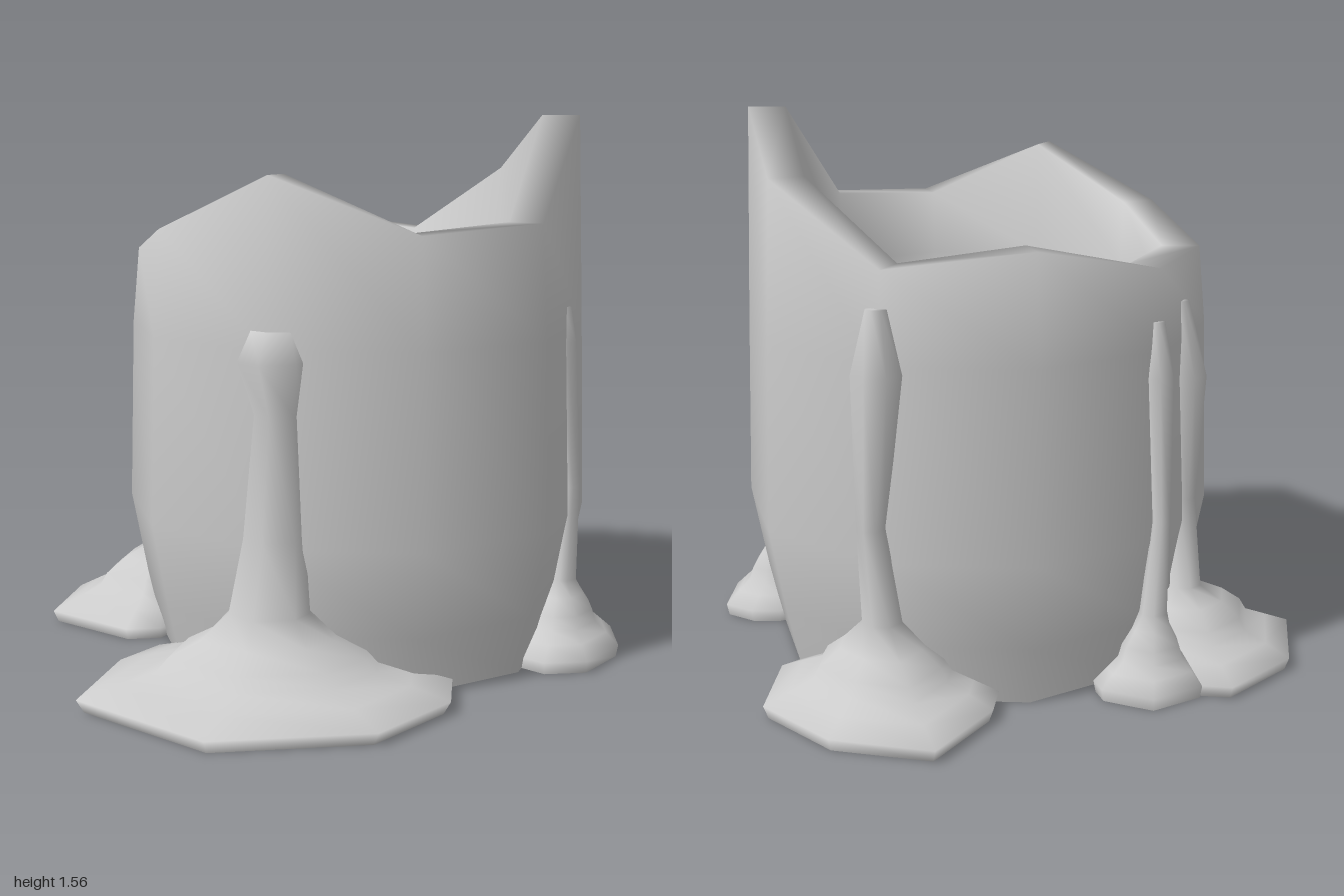
import * as THREE from 'three';

const material = new THREE.MeshStandardMaterial({ color: 0xcccccc, side: THREE.DoubleSide });

// Skins a stack of rings, wrapping round when closed; a single-point ring ends it in a tip.
function loft(name, rings, closed) {
  const position = [], index = [], start = [];
  for (const ring of rings) {
    start.push(position.length / 3);
    for (const p of ring) position.push(...p);
  }
  for (let r = 0; r < rings.length - 1; r++) {
    const n = rings[r].length, tip = rings[r + 1].length === 1;
    for (let i = 0; i < (closed ? n : n - 1); i++) {
      const j = (i + 1) % n, a = start[r], b = start[r + 1];
      if (tip) index.push(a + i, a + j, b);
      else index.push(a + i, a + j, b + i, a + j, b + j, b + i);
    }
  }
  const geometry = new THREE.BufferGeometry();
  geometry.setAttribute('position', new THREE.Float32BufferAttribute(position, 3));
  geometry.setIndex(index);
  geometry.computeVertexNormals();
  const mesh = new THREE.Mesh(geometry, material);
  mesh.name = name;
  return mesh;
}

// Ten-sided hollow candle with an uneven rim and a melted bowl
function candleBody() {
  const rim = [1.405, 1.25, 1.27, 1.56, 1.4, 1.2, 1.25, 1.17, 1.17, 1.25];
  const ring = (radius, height) => rim.map((top, i) => {
    const a = (i / rim.length) * Math.PI * 2;
    return [0.08 + Math.sin(a) * radius, height ?? top, -0.07 + Math.cos(a) * radius * 0.985];
  });
  return loft('candleBody', [
    ring(0.595, 0), ring(0.635, 0.17), ring(0.683, 0.42), ring(0.668, 0.95),
    ring(0.648), ring(0.54),
    ring(0.53, 1.06), ring(0.44, 0.87), ring(0.26, 0.77), [[0.08, 0.73, -0.07]],
  ], true);
}

// Wax run, open towards the wall: a puddle stepping up to the stem,
// then the stem's sections [y, x, z, radius]
function waxDrip(name, outline, stem) {
  const [, ax, az] = stem[0];
  const puddle = [[0, 0.96], [0.035, 1], [0.07, 0.78], [0.1, 0.59], [0.135, 0.53], [0.18, 0.36]];
  const rings = puddle.map(([y, s]) =>
    outline.map(([x, z]) => [ax + (x - ax) * s, y, az + (z - az) * s]));
  for (const [y, cx, cz, radius] of stem) {
    rings.push(outline.map(([x, z]) => {
      const d = Math.hypot(x - ax, z - az);
      return [cx + ((x - ax) / d) * radius, y, cz + ((z - az) / d) * radius];
    }));
  }
  const [y, x, z] = stem[stem.length - 1];
  rings.push([[x, y, z]]);
  return loft(name, rings, false);
}

export function createModel() {
  const group = new THREE.Group();
  group.name = 'meltedCandle';
  group.add(candleBody());

  // Puddle outlines start and end just inside the wall
  group.add(waxDrip('frontDrip',
    [[-0.25, 0.33], [-0.36, 0.37], [-0.4, 0.53], [-0.35, 0.86], [0.09, 0.995], [0.47, 0.78], [0.57, 0.5], [0.52, 0.33], [0.42, 0.3]],
    [[0.25, 0.085, 0.58, 0.11], [0.45, 0.095, 0.565, 0.085], [0.78, 0.1, 0.55, 0.065],
      [0.92, 0.085, 0.55, 0.095], [1.0, 0.085, 0.535, 0.065]]));

  group.add(waxDrip('backDrip',
    [[0.28, -0.53], [0.4, -0.56], [0.44, -0.64], [0.36, -0.89], [0.11, -1], [-0.17, -0.96], [-0.22, -0.69], [-0.19, -0.57], [-0.09, -0.54]],
    [[0.25, 0.09, -0.71, 0.055], [0.53, 0.09, -0.77, 0.038], [0.93, 0.09, -0.715, 0.07], [1.1, 0.09, -0.71, 0.03]]));

  group.add(waxDrip('leftDrip',
    [[0.6, 0.04], [0.64, 0.08], [0.72, 0.11], [0.83, 0.05], [0.88, -0.13], [0.82, -0.3], [0.72, -0.32], [0.64, -0.29], [0.6, -0.24]],
    [[0.22, 0.71, -0.13, 0.04], [0.5, 0.728, -0.12, 0.028], [0.92, 0.695, -0.115, 0.042], [1.02, 0.688, -0.115, 0.032]]));

  group.add(waxDrip('rightDrip',
    [[-0.42, -0.28], [-0.46, -0.35], [-0.55, -0.38], [-0.78, -0.33], [-0.885, -0.08], [-0.82, 0.2], [-0.52, 0.28], [-0.43, 0.23], [-0.42, 0.1]],
    [[0.22, -0.57, -0.08, 0.05], [0.48, -0.56, -0.08, 0.036], [0.84, -0.56, -0.08, 0.06], [1.05, -0.54, -0.08, 0.025]]));

  group.add(waxDrip('smallRightDrip',
    [[-0.42, -0.33], [-0.41, -0.42], [-0.45, -0.47], [-0.6, -0.48], [-0.7, -0.35], [-0.65, -0.23], [-0.5, -0.22], [-0.46, -0.25]],
    [[0.22, -0.55, -0.32, 0.04], [0.48, -0.56, -0.3, 0.026], [0.88, -0.545, -0.29, 0.04], [1.03, -0.535, -0.285, 0.02]]));

  return group;
}
